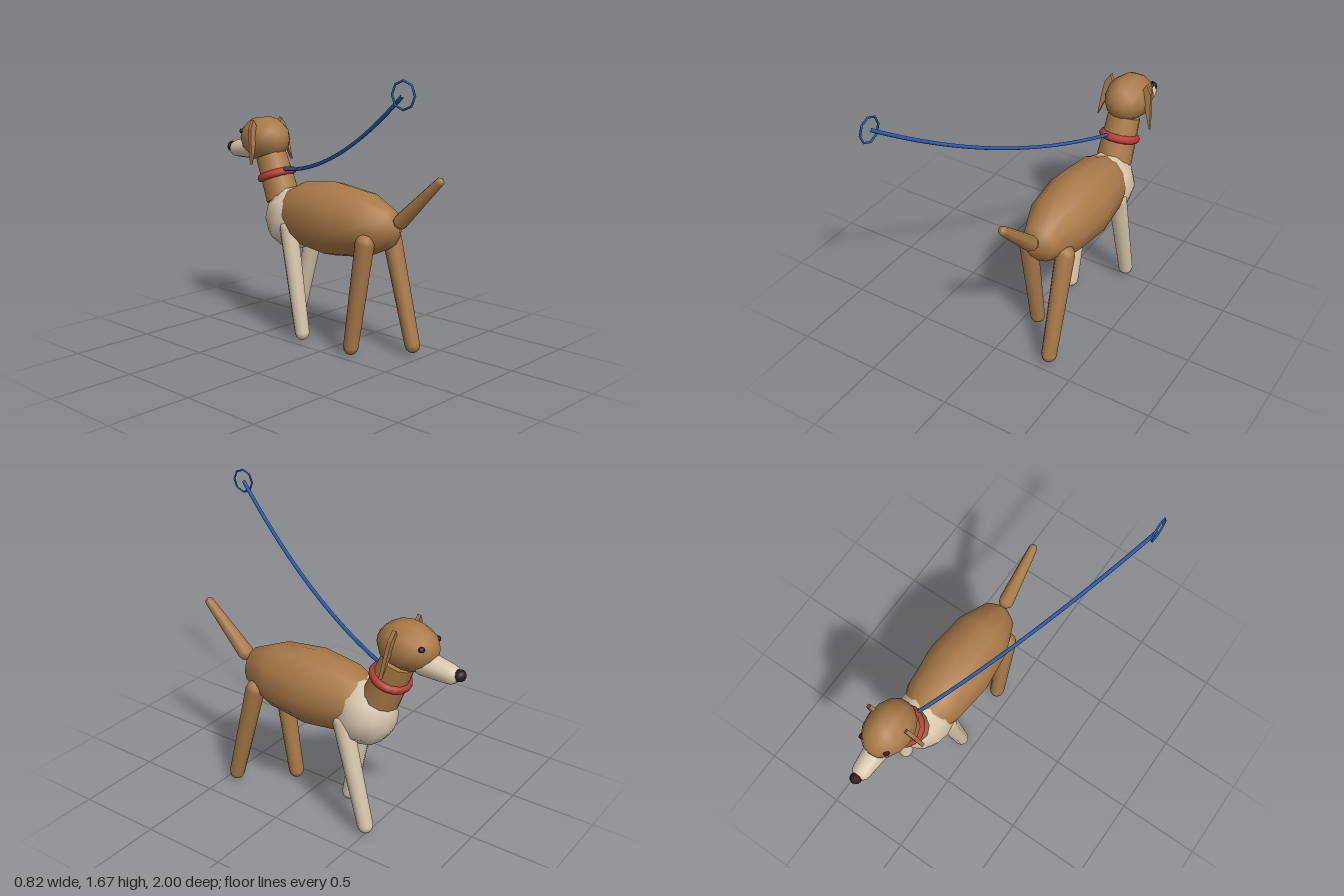
import * as THREE from 'three';

const mat = (name, color) => {
  const m = new THREE.MeshStandardMaterial({ color });
  m.name = name;
  return m;
};
const V = (x, y, z) => new THREE.Vector3(x, y, z);

export function createModel() {
  const model = new THREE.Group();
  model.name = 'dogOnLead';
  const fur = mat('brownFur', 0xa97a48);
  const cream = mat('creamFur', 0xd9c8ae);
  const red = mat('redCollar', 0xb83c34);
  const blue = mat('blueLead', 0x2a5db0);
  const dark = mat('darkNose', 0x2a1c1e);

  // The dog's own group stands to one side of the lead
  const dog = new THREE.Group();
  dog.name = 'dog';
  dog.position.x = 0.205;
  model.add(dog);

  const add = (name, geometry, material, parent = dog) => {
    const mesh = new THREE.Mesh(geometry, material);
    mesh.name = name;
    parent.add(mesh);
    return mesh;
  };

  // Ellipsoid with its poles along z
  const ellipsoid = (name, material, centre, r, sides, rings) => {
    const g = new THREE.SphereGeometry(1, sides, rings);
    g.rotateX(Math.PI / 2).scale(r.x, r.y, r.z);
    const mesh = add(name, g, material);
    mesh.position.copy(centre);
    return mesh;
  };

  // Turn a part that runs along +y so it points from a to b
  const aim = (mesh, a, b) => {
    mesh.position.copy(a);
    mesh.quaternion.setFromUnitVectors(V(0, 1, 0), b.clone().sub(a).normalize());
    return mesh;
  };

  // Tapered limb with rounded ends; a and b are the end-ball centres
  const limb = (name, material, a, b, ra, rb, sides = 10) => {
    const len = a.distanceTo(b);
    const pts = [];
    for (let i = 0; i <= 3; i++) {
      const t = (i / 3) * Math.PI / 2;
      pts.push(new THREE.Vector2(ra * Math.sin(t), -ra * Math.cos(t)));
    }
    for (let i = 0; i <= 3; i++) {
      const t = (i / 3) * Math.PI / 2;
      pts.push(new THREE.Vector2(rb * Math.cos(t), len + rb * Math.sin(t)));
    }
    return aim(add(name, new THREE.LatheGeometry(pts, sides), material), a, b);
  };

  // Body and chest
  ellipsoid('body', fur, V(0, 0.757, -0.07), V(0.205, 0.223, 0.49), 12, 6);
  ellipsoid('chest', cream, V(0, 0.715, -0.405), V(0.175, 0.2, 0.188), 10, 8);

  // Legs in mid stride: [name, material, x, hip z, foot z, foot y]
  const legs = [
    ['frontLegLeft', cream, 0.12, -0.34, -0.5, 0.06],
    ['frontLegRight', cream, -0.12, -0.34, -0.23, 0.046],
    ['hindLegLeft', fur, 0.12, 0.265, 0.43, 0.06],
    ['hindLegRight', fur, -0.12, 0.265, 0.165, 0.046],
  ];
  for (const [name, m, x, hip, foot, y] of legs) {
    limb(name, m, V(x, 0.68, hip), V(x, y, foot), 0.056, 0.045);
  }

  // Tail
  limb('tail', fur, V(0, 0.815, 0.43), V(0, 1.068, 0.69), 0.046, 0.026, 8);

  // Neck and collar share one sloping axis
  const neckLow = V(0, 0.825, -0.505), neckHigh = V(0, 1.08, -0.61);
  const neckLen = neckLow.distanceTo(neckHigh);
  const neckShape = new THREE.CylinderGeometry(0.097, 0.108, neckLen, 12).translate(0, neckLen / 2, 0);
  aim(add('neck', neckShape, fur), neckLow, neckHigh);
  const collarShape = new THREE.TorusGeometry(0.098, 0.025, 8, 16).rotateX(Math.PI / 2);
  aim(add('collar', collarShape, red), V(0, 0.965, -0.562), V(0, 1.22, -0.66));

  // Head, muzzle and nose
  ellipsoid('head', fur, V(0, 1.183, -0.662), V(0.136, 0.138, 0.173), 10, 8);
  limb('muzzle', cream, V(0, 1.112, -0.76), V(0, 1.093, -0.915), 0.07, 0.054);
  ellipsoid('nose', dark, V(0, 1.1, -0.968), V(0.034, 0.036, 0.032), 8, 6);

  // Eyes and hanging ears, mirrored
  const earOutline = [
    [0.09, 1.25], [0.118, 1.305], [0.15, 1.255], [0.163, 1.16],
    [0.173, 1.04], [0.138, 1.13], [0.12, 1.19],
  ];
  for (const [side, s] of [['Left', 1], ['Right', -1]]) {
    ellipsoid('eye' + side, dark, V(s * 0.08, 1.222, -0.787), V(0.017, 0.017, 0.017), 8, 6);

    const shape = new THREE.Shape(earOutline.map(([x, y]) => new THREE.Vector2(s * x, y)));
    const ear = new THREE.ExtrudeGeometry(shape, { depth: 0.022, bevelEnabled: false });
    const p = ear.attributes.position;
    for (let i = 0; i < p.count; i++) {
      // the tip swings back from the head
      p.setZ(i, p.getZ(i) - 0.66 + (1.3 - p.getY(i)) * 0.16);
    }
    ear.computeVertexNormals();
    add('ear' + side, ear, fur);
  }

  // Slack lead rising from the collar to a hand loop
  const lead = new THREE.QuadraticBezierCurve3(
    V(0.175, 1.012, -0.465), V(-0.115, 1.1, 0.228), V(-0.405, 1.59, 0.92));
  add('lead', new THREE.TubeGeometry(lead, 16, 0.011, 6), blue, model);
  const loop = add('handLoop', new THREE.TorusGeometry(0.07, 0.006, 6, 8).rotateY(Math.PI / 2), blue, model);
  loop.position.set(-0.405, 1.592, 0.924);

  return model;
}
